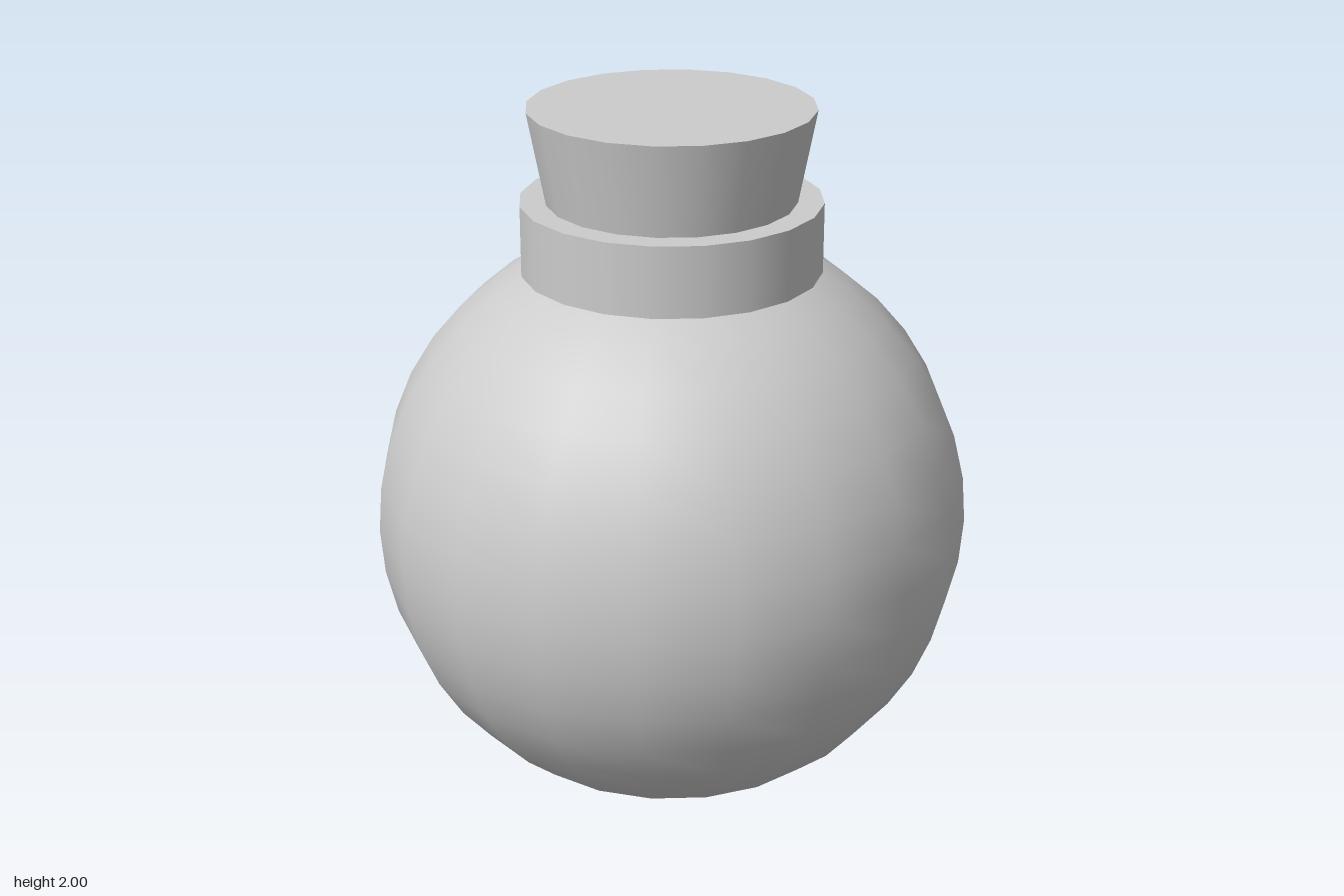
import * as THREE from 'three';

const SIDES = 20;
const RADIUS = 0.83;

export function createModel() {
  const group = new THREE.Group();
  const material = new THREE.MeshStandardMaterial({ color: 0xcccccc });

  const add = (name, geometry, y) => {
    const mesh = new THREE.Mesh(geometry, material);
    mesh.name = name;
    mesh.position.y = y;
    group.add(mesh);
  };
  // Round part spanning two heights
  const addRound = (name, topRadius, bottomRadius, bottom, top) =>
    add(name, new THREE.CylinderGeometry(topRadius, bottomRadius, top - bottom, SIDES), (bottom + top) / 2);

  // Round flask body
  add('body', new THREE.SphereGeometry(RADIUS, SIDES, SIDES), RADIUS);
  // Straight collar around the neck
  addRound('collar', 0.413, 0.413, 1.55, 1.745);
  // Tapered stopper, seated slightly inside the collar
  addRound('stopper', 0.39, 0.333, 1.7, 2);

  return group;
}
